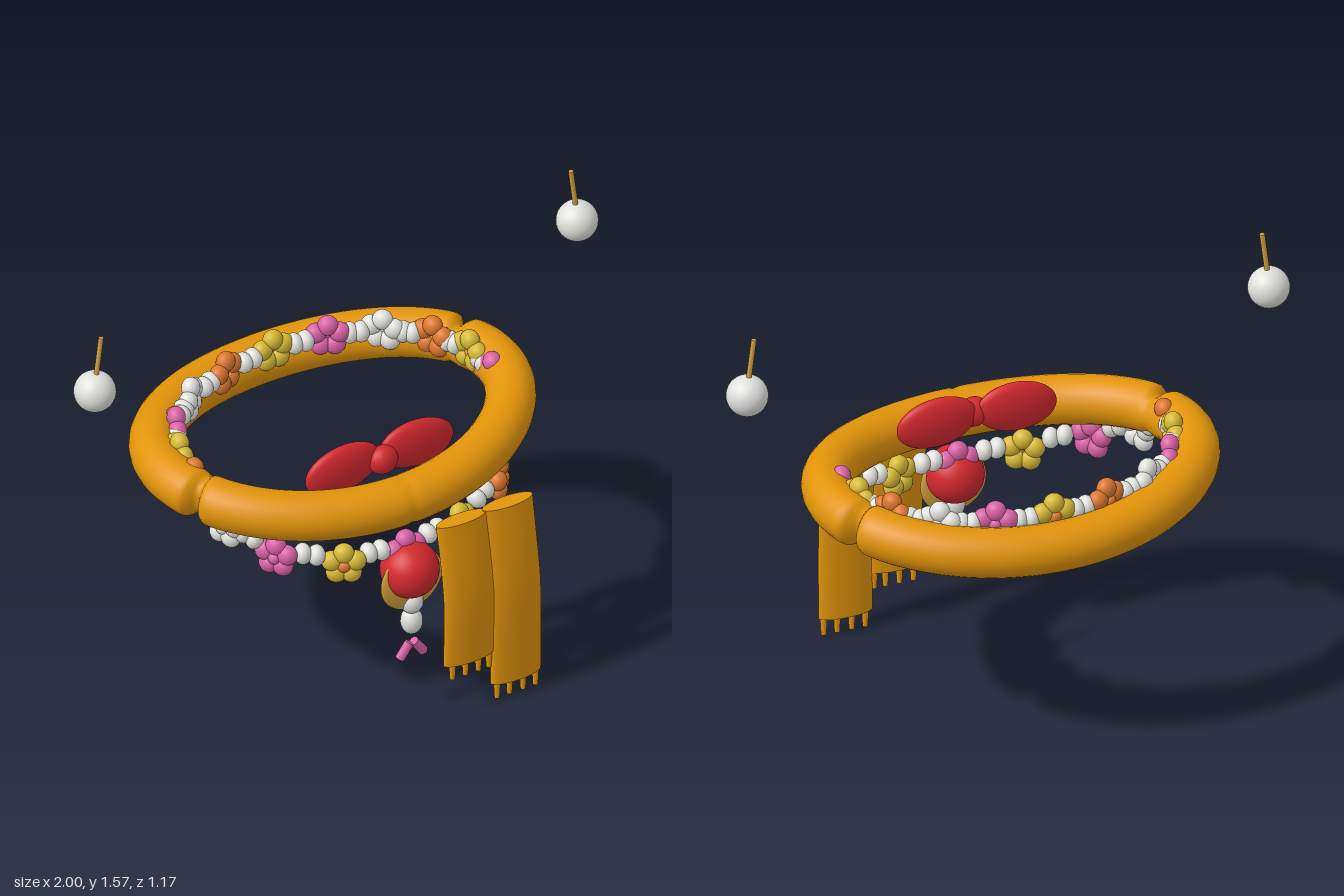
import * as THREE from 'three';
import { toCreasedNormals } from 'three/addons/utils/BufferGeometryUtils.js';

const mat = (name, color) => {
  const m = new THREE.MeshStandardMaterial({ color });
  m.name = name;
  return m;
};
const V = (x, y, z) => new THREE.Vector3(x, y, z);

// Surface grid from fn(i, j); j always wraps, i wraps when closed
function grid(rows, cols, fn, closed) {
  const pos = [], idx = [];
  for (let i = 0; i < rows; i++) for (let j = 0; j < cols; j++) pos.push(...fn(i, j));
  for (let i = 0; i < (closed ? rows : rows - 1); i++) {
    for (let j = 0; j < cols; j++) {
      const n = ((i + 1) % rows) * cols, k = (j + 1) % cols;
      const a = i * cols + j, b = n + j, c = n + k, d = i * cols + k;
      idx.push(a, b, c, a, c, d);
    }
  }
  const g = new THREE.BufferGeometry();
  g.setAttribute('position', new THREE.Float32BufferAttribute(pos, 3));
  g.setIndex(idx);
  g.computeVertexNormals();
  return g;
}

export function createModel() {
  const root = new THREE.Group();
  root.name = 'scarfAndJewellery';
  const scarf = mat('scarf amber', 0xe2940a);
  const red = mat('red', 0xd2282e);
  const white = mat('pearl white', 0xe0e0dc);
  const pink = mat('pink', 0xd962a6);
  const orange = mat('orange', 0xdc772f);
  const yellow = mat('yellow', 0xd6b935);
  const gold = mat('gold', 0xd0a13e);

  const add = (name, geo, material, parent = root) => {
    const m = new THREE.Mesh(geo, material);
    m.name = name;
    parent.add(m);
    return m;
  };
  const sphere = new THREE.SphereGeometry(1, 16, 12);
  const fineSphere = new THREE.SphereGeometry(1, 32, 24);
  const ball = (name, material, p, s, parent = root, geo = sphere) => {
    const m = add(name, geo, material, parent);
    m.position.set(...p);
    m.scale.set(...s);
    return m;
  };
  // Tapered rod between two points
  const rod = (name, material, a, b, ra, rb) => {
    const d = b.clone().sub(a);
    const m = add(name, new THREE.CylinderGeometry(rb, ra, d.length(), 10), material);
    m.position.copy(a).lerp(b, 0.5);
    m.quaternion.setFromUnitVectors(V(0, 1, 0), d.normalize());
  };

  // Scarf loop, with folds dented into its outer side
  const R = 0.085, rows = 240, cols = 24;
  const dent = (t, t0, w) => {
    const d = Math.atan2(Math.sin(t - t0), Math.cos(t - t0));
    return Math.exp(-((d / w) ** 2));
  };
  add('scarfLoop', grid(rows, cols, (i, j) => {
    const t = (i / rows) * Math.PI * 2, v = (j / cols) * Math.PI * 2;
    const s = Math.sin(t), c = Math.cos(t);
    const n = V(s / 0.63, 0, c / 0.46).normalize();
    const fold = 0.75 * (dent(t, -1.23, 0.04) + dent(t, 1.93, 0.04)) + 0.06 * dent(t, 0, 0.02);
    const r = R * (1 - fold * (0.5 + 0.5 * Math.cos(v)));
    const o = Math.cos(v) * r;
    return [s * 0.63 + n.x * o, 0.84 + 0.047 * s * s + Math.sin(v) * r, -0.04 + c * 0.46 + n.z * o];
  }, true), scarf);

  // Hanging scarf ends with fringe
  const tail = (name, path, fringeX) => {
    const curve = new THREE.CatmullRomCurve3(path), n = 14;
    const geo = grid(n + 3, 28, (i, j) => {
      const u = THREE.MathUtils.clamp((i - 1) / n, 0, 1);
      const k = i === 0 || i === n + 2 ? 0 : 1;
      const p = curve.getPoint(u), v = (j / 28) * Math.PI * 2;
      return [p.x + Math.cos(v) * 0.096 * k, p.y, p.z - Math.sin(v) * 0.03 * k];
    }, false);
    add(name, toCreasedNormals(geo, 0.8), scarf);
    const end = path[path.length - 1];
    for (const x of fringeX) {
      rod('fringe', scarf, V(x, end.y + 0.01, end.z), V(x, end.y - 0.064, end.z), 0.013, 0.009);
    }
  };
  tail('shortScarfEnd', [V(0.16, 0.765, 0.522), V(0.167, 0.62, 0.54), V(0.172, 0.45, 0.554), V(0.172, 0.207, 0.55)],
    [0.11, 0.16, 0.21, 0.25]);
  tail('longScarfEnd', [V(0.338, 0.768, 0.522), V(0.343, 0.6, 0.542), V(0.35, 0.43, 0.554), V(0.353, 0.067, 0.55)],
    [0.282, 0.33, 0.382, 0.43]);

  // Flower garland: half path from back to front, mirrored
  const half = [
    [0, 0.92, -0.425], [0.197, 0.92, -0.4], [0.37, 0.92, -0.335], [0.495, 0.92, -0.22], [0.56, 0.92, -0.09],
    [0.575, 0.9, 0.03], [0.545, 0.785, 0.18], [0.43, 0.705, 0.315], [0.222, 0.65, 0.405], [0, 0.64, 0.43],
  ];
  const points = [...half, ...half.slice(1, 9).reverse().map(([x, y, z]) => [-x, y, z])].map((p) => V(...p));
  const garland = new THREE.Group();
  garland.name = 'flowerGarland';
  root.add(garland);
  const petals = [yellow, pink, white, orange];
  const centers = [orange, pink, white, orange];
  points.forEach((p, i) => {
    // The colour cycle starts again after the front flower
    const k = (i % half.length) % 4;
    const flower = new THREE.Group();
    flower.name = 'flower';
    flower.position.copy(p);
    flower.lookAt(p.x * 2, p.y, p.z * 2);
    garland.add(flower);
    for (let j = 0; j < 5; j++) {
      const a = Math.PI / 2 + (j * Math.PI * 2) / 5;
      ball('petal', petals[k], [Math.cos(a) * 0.042, Math.sin(a) * 0.042, 0], [0.036, 0.036, 0.032], flower);
    }
    ball('flowerCentre', centers[k], [0, 0, 0.016], [0.022, 0.022, 0.02], flower);

    // Pearls between neighbouring flowers, riding above the drooping front flowers
    const q = points[(i + 1) % points.length];
    for (const f of [0.4, 0.6]) {
      const b = p.clone().lerp(q, f);
      const lift = b.y < 0.8 ? 0.025 : 0;
      const pearl = ball('pearl', white, [b.x * 1.01, b.y + lift, b.z * 1.01], [0.037, 0.037, 0.03], garland);
      pearl.lookAt(q);
    }
  });

  // Bell pendant: red ball, gold disc, pearls and a forked pink tip
  ball('pendantBall', red, [0, 0.58, 0.458], [0.1, 0.1, 0.1], root, fineSphere);
  ball('pendantDisc', gold, [0, 0.545, 0.47], [0.118, 0.118, 0.024], root, fineSphere);
  ball('upperPendantPearl', white, [0, 0.455, 0.47], [0.04, 0.045, 0.04]);
  ball('lowerPendantPearl', white, [0, 0.375, 0.47], [0.038, 0.05, 0.038]);
  for (const s of [-1, 1]) {
    rod('pendantTip', pink, V(s * 0.008, 0.287, 0.47), V(s * 0.046, 0.234, 0.47), 0.017, 0.017);
  }

  // Bow inside the front of the loop
  for (const s of [-1, 1]) {
    const wing = ball('bowWing', red, [s * 0.142, 0.92, 0.262], [0.143, 0.091, 0.037], root, fineSphere);
    wing.rotation.z = s * -0.08;
  }
  ball('bowKnot', red, [0, 0.918, 0.285], [0.054, 0.052, 0.044]);

  // Drop earrings
  for (const s of [-1, 1]) {
    ball('earringPearl', white, [s * 0.93, 1.36, -0.017], [0.071, 0.071, 0.071], root, fineSphere);
    rod('earringHook', gold, V(s * 0.925, 1.42, -0.017), V(s * 0.906, 1.57, -0.017), 0.009, 0.009);
  }
  return root;
}
